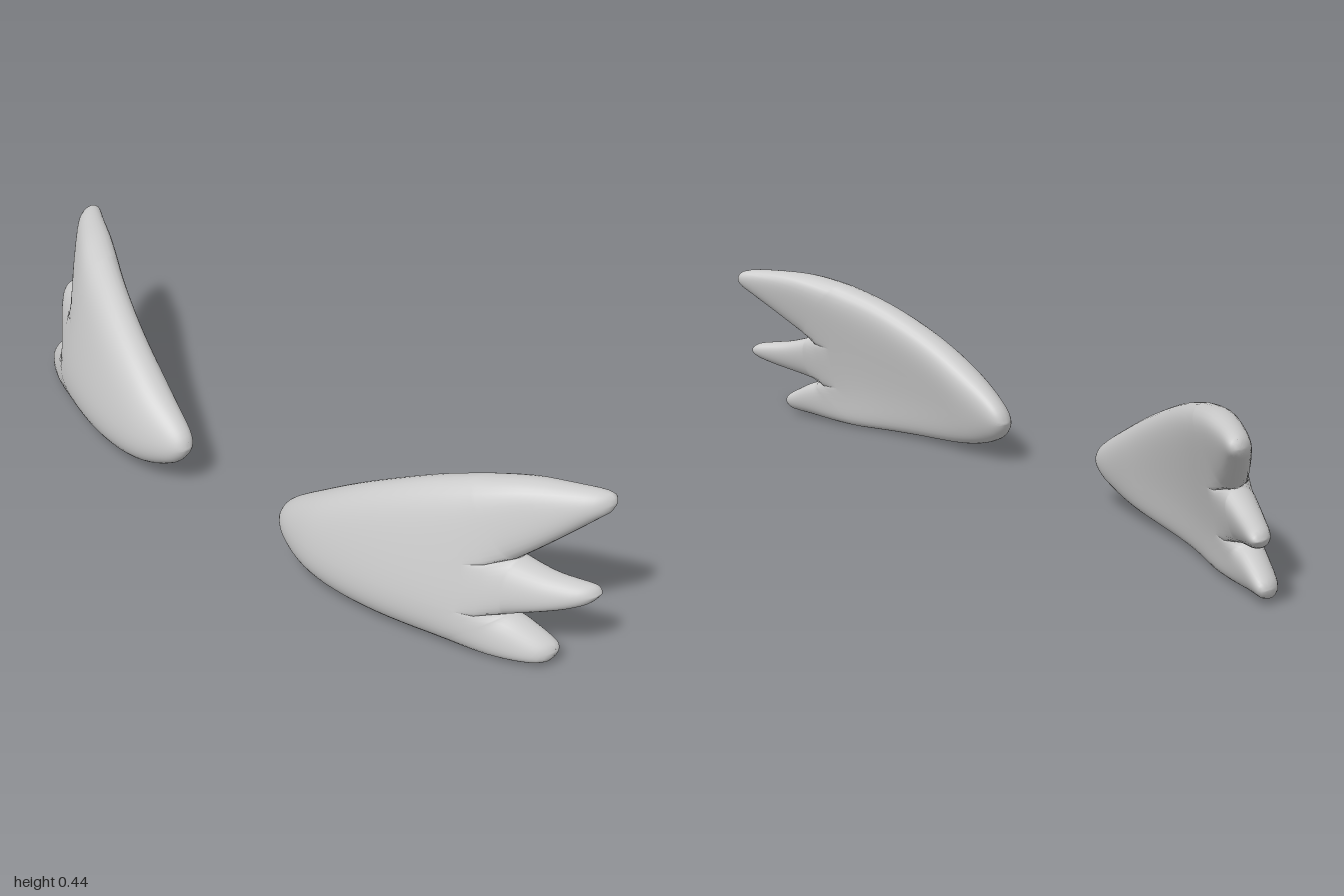
import * as THREE from 'three';
import { mergeVertices } from 'three/addons/utils/BufferGeometryUtils.js';

const N = 24, M = 18, ACROSS = 16; // steps along the body, along a feather, across a feather
const { lerp, smoothstep } = THREE.MathUtils;

// Sample a smooth curve through a few points, with spacing set by a rule
function sample(points, count, rule) {
  const curve = new THREE.SplineCurve(points.map(([x, y]) => new THREE.Vector2(x, y)));
  return Array.from({ length: count + 1 }, (_, i) => curve.getPointAt(rule(i / count)));
}
const denseStart = u => Math.pow(u, 1.6);
const denseEnds = u => (u + (1 - Math.cos(Math.PI * u))) / 3;

const root = [0.185, 0.12], notchA = [0.83, 0.25], notchB = [0.838, 0.115];
const tipA = [0.976, 0.405], tipB = [0.997, 0.19], tipC = [0.948, 0.042];

// Body lines run from the root to the feathers, feather lines from there to the tips
const topBody = sample([root, [0.196, 0.15], [0.23, 0.182], [0.3, 0.228], [0.4, 0.288], [0.5, 0.339], [0.6, 0.383], [0.7, 0.416]], N, denseStart);
const topFeather = sample([[0.7, 0.416], [0.8, 0.435], [0.9, 0.437], [0.95, 0.433], [0.97, 0.423], tipA], M, denseEnds);
const lineA = sample([root, notchA], N, denseStart);
const underA = sample([notchA, [0.87, 0.286], [0.92, 0.334], [0.958, 0.372], [0.972, 0.387], tipA], M, denseEnds);
const overB = sample([notchA, [0.865, 0.237], [0.905, 0.225], [0.95, 0.217], [0.984, 0.209], tipB], M, denseEnds);
const lineB = sample([root, notchB], N, denseStart);
const underB = sample([notchB, [0.87, 0.126], [0.91, 0.138], [0.95, 0.152], [0.984, 0.17], tipB], M, denseEnds);
const overC = sample([notchB, [0.865, 0.105], [0.895, 0.089], [0.925, 0.071], [0.942, 0.057], tipC], M, denseEnds);
const bottomBody = sample([root, [0.195, 0.096], [0.225, 0.068], [0.3, 0.037], [0.4, 0.018], [0.55, 0.008], [0.7, 0.002]], N, denseStart);
const bottomFeather = sample([[0.7, 0.002], [0.8, 0.002], [0.88, 0.007], [0.93, 0.014], [0.944, 0.024], tipC], M, denseEnds);

const outline = [topBody, topFeather, underA, overB, underB, overC, bottomBody, bottomFeather];
const strips = [
  [[lineA, underA], [topBody, topFeather]],
  [[lineB, underB], [lineA, overB]],
  [[bottomBody, bottomFeather], [lineB, overC]],
].map(strip => strip.map(([a, b]) => [...a, ...b.slice(1)]));

// Smooth distance to the outline, rounded where two edges are close
function edgeDistance(x, y) {
  let sum = 0;
  for (const line of outline) {
    for (let i = 0; i + 1 < line.length; i++) {
      const a = line[i], b = line[i + 1];
      const length = a.distanceTo(b), dx = (b.x - a.x) / length, dy = (b.y - a.y) / length;
      const s1 = (a.x - x) * dx + (a.y - y) * dy, s2 = s1 + length;
      const h = (a.x - x) * dy - (a.y - y) * dx;
      const h2 = Math.max(h * h, 1e-12);
      sum += (s2 / Math.sqrt(s2 * s2 + h2) - s1 / Math.sqrt(s1 * s1 + h2)) / h2;
    }
  }
  return 1 / Math.sqrt(Math.max(sum / 2, 1e-9));
}

// Puffed thickness, slimmer towards the root and the feather tips
function halfThickness(x, y) {
  const d = edgeDistance(x, y), feather = smoothstep(x, 0.7, 0.97);
  const full = 0.064 - 0.018 * feather - 0.014 * (1 - smoothstep(x, 0.18, 0.36));
  const softness = lerp(0.036, 0.02, smoothstep(x, 0.6, 0.85));
  return d < 2e-4 ? 0 : full * Math.sqrt(1 - Math.exp(-d / softness));
}

// Backward sweep of the wing, with the lower edge of the body tucked in
function sweep(x, y) {
  const tuck = 0.055 * Math.exp(-y / 0.06) * (1 - smoothstep(x, 0.68, 0.95));
  return 0.117 - 0.54 * (x - 0.33) ** 2 - 0.3 * (y - 0.2) - tuck;
}

function wingGeometry(side) {
  const positions = [], index = [];
  for (const [low, high] of strips) {
    for (const face of [1, -1]) {
      const start = positions.length / 3, row = ACROSS + 1;
      for (let i = 0; i < low.length; i++) {
        for (let j = 0; j <= ACROSS; j++) {
          const v = (1 - Math.cos(Math.PI * j / ACROSS)) / 2;
          const x = lerp(low[i].x, high[i].x, v), y = lerp(low[i].y, high[i].y, v);
          positions.push(side * x, y, sweep(x, y) + face * halfThickness(x, y));
          if (i + 1 < low.length && j < ACROSS) {
            const a = start + i * row + j, b = a + row;
            if (face * side > 0) index.push(a, b, b + 1, a, b + 1, a + 1);
            else index.push(a, b + 1, b, a, a + 1, b + 1);
          }
        }
      }
    }
  }
  const geometry = new THREE.BufferGeometry();
  geometry.setAttribute('position', new THREE.Float32BufferAttribute(positions, 3));
  geometry.setIndex(index);
  const merged = mergeVertices(geometry, 1e-5);
  merged.computeVertexNormals();
  return merged;
}

export function createModel() {
  const group = new THREE.Group();
  group.name = 'wings';
  const material = new THREE.MeshStandardMaterial({ color: 0xcccccc });
  for (const [name, side] of [['leftWing', 1], ['rightWing', -1]]) {
    const wing = new THREE.Mesh(wingGeometry(side), material);
    wing.name = name;
    group.add(wing);
  }
  return group;
}
